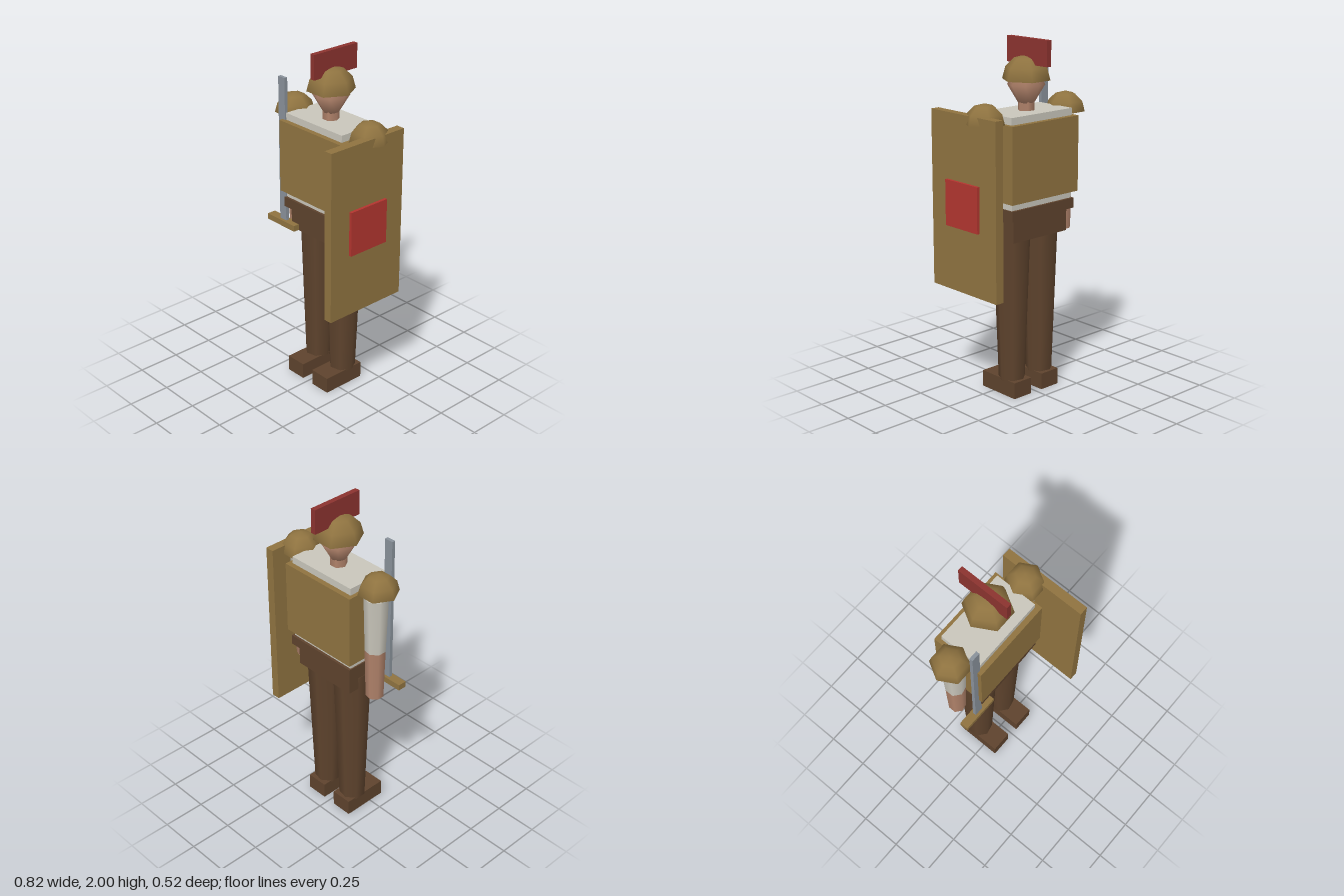
import * as THREE from 'three';

export function createModel() {
  const root = new THREE.Group();
  const Z = -0.085; // depth of the body axis

  const material = (name, color, side = THREE.FrontSide) => {
    const m = new THREE.MeshStandardMaterial({ color, side });
    m.name = name;
    return m;
  };
  const brass = material('brass', 0x8f7340, THREE.DoubleSide);
  const cloth = material('cloth', 0xc9c6bb);
  const leather = material('leather', 0x5e432d);
  const skin = material('skin', 0xb0826a);
  const steel = material('steel', 0x89919a);
  const crestRed = material('crestRed', 0x8b332f);
  const emblemRed = material('emblemRed', 0xb2352f);

  const add = (name, geometry, mat) => {
    const mesh = new THREE.Mesh(geometry, mat);
    mesh.name = name;
    root.add(mesh);
    return mesh;
  };
  // Box given by its limits on each axis
  const box = (name, mat, [x0, x1], [y0, y1], [z0, z1]) =>
    add(name, new THREE.BoxGeometry(x1 - x0, y1 - y0, z1 - z0), mat)
      .position.set((x0 + x1) / 2, (y0 + y1) / 2, (z0 + z1) / 2);
  // Upright tapered limb with a corner pointing to +x
  const limb = (name, mat, x, y0, y1, r0, r1, sides = 7) =>
    add(name, new THREE.CylinderGeometry(r1, r0, y1 - y0, sides).rotateY(Math.PI / 2), mat)
      .position.set(x, (y0 + y1) / 2, Z);
  // Open six-sided dome
  const dome = (name, x, y, r) => {
    const mesh = add(name, new THREE.SphereGeometry(r, 6, 3, 0, Math.PI * 2, 0, Math.PI / 2), brass);
    mesh.position.set(x, y, Z);
    mesh.scale.z = 1.02;
  };

  // Torso, armour and belt
  box('tunic', cloth, [-0.222, 0.222], [1.1, 1.61], [-0.212, 0.043]);
  box('breastplate', brass, [-0.245, 0.245], [1.147, 1.57], [-0.242, 0.073]);
  box('belt', leather, [-0.23, 0.23], [1.05, 1.107], [-0.227, 0.057]);
  box('hips', leather, [-0.2, 0.2], [0.92, 1.05], [-0.2, 0.03]);

  // Head, helmet and crest
  limb('neck', skin, 0, 1.59, 1.67, 0.047, 0.047, 6);
  const profile = [[0, 1.642], [0.045, 1.652], [0.103, 1.75], [0.05, 1.84], [0, 1.85]]
    .map(([r, y]) => new THREE.Vector2(r, y));
  add('head', new THREE.LatheGeometry(profile, 8), skin).position.z = Z;
  dome('helmet', 0, 1.775, 0.134);
  box('crest', crestRed, [-0.015, 0.015], [1.86, 2], [-0.26, 0.05]);

  // Limbs on both sides
  for (const [side, s] of [['left', 1], ['right', -1]]) {
    limb(side + 'Leg', leather, s * 0.105, 0.087, 0.99, 0.076, 0.108);
    box(side + 'Foot', leather, [s * 0.104 - 0.064, s * 0.104 + 0.064], [0, 0.095], [-0.175, 0.092]);
    limb(side + 'Sleeve', cloth, s * 0.28, 1.2, 1.535, 0.058, 0.07);
    limb(side + 'Forearm', skin, s * 0.28, 0.9, 1.2, 0.05, 0.058);
    dome(side + 'ShoulderGuard', s * 0.298, 1.57, 0.111);
  }

  // Sword
  box('swordBlade', steel, [-0.277, -0.225], [0.957, 1.81], [0.03, 0.05]);
  box('swordGuard', brass, [-0.367, -0.14], [0.922, 0.957], [0.014, 0.066]);

  // Shield
  box('shield', brass, [0.327, 0.378], [0.63, 1.618], [-0.26, 0.26]);
  box('shieldEmblem', emblemRed, [0.37, 0.395], [0.995, 1.252], [-0.13, 0.13]);

  return root;
}
